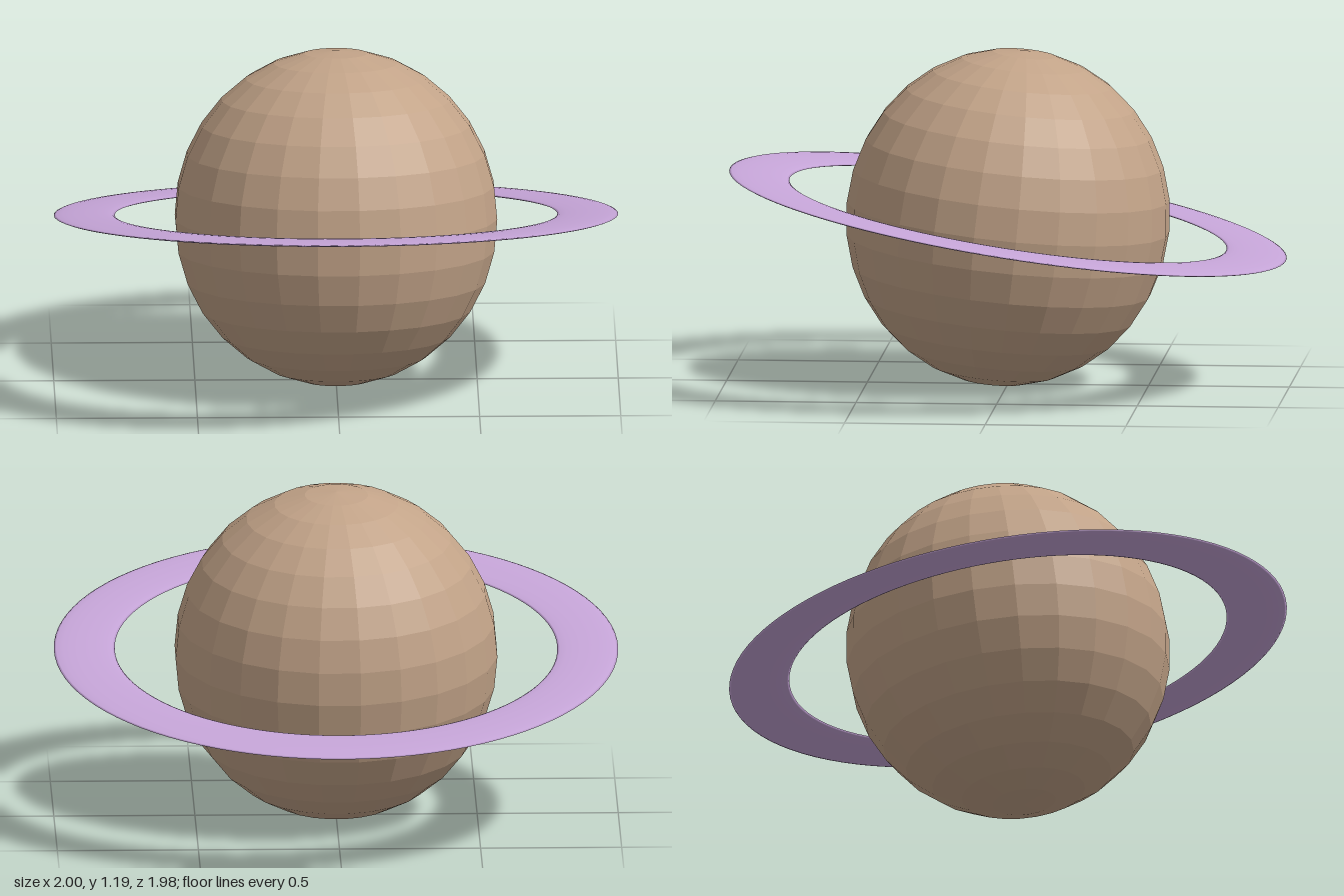
import * as THREE from 'three';

export function createModel() {
  const model = new THREE.Group();
  model.name = 'ringedPlanet';

  // Faceted globe, slightly taller along its tilted axis
  const globe = new THREE.Mesh(
    new THREE.SphereGeometry(0.575, 24, 16).rotateY(Math.PI / 24).scale(1, 0.6 / 0.575, 1),
    new THREE.MeshStandardMaterial({ color: 0xc2a388, flatShading: true })
  );
  globe.name = 'globe';
  globe.position.y = 0.6;
  globe.rotation.x = -0.1;
  model.add(globe);

  // Thin ring: a torus flattened to a lens section, raised at the front
  const ring = new THREE.Mesh(
    new THREE.TorusGeometry(0.892, 0.108, 16, 96).rotateX(Math.PI / 2).scale(1, 0.08, 1),
    new THREE.MeshStandardMaterial({ color: 0xc6a5d8 })
  );
  ring.name = 'ring';
  ring.position.y = 0.61;
  ring.rotation.x = -0.157;
  model.add(ring);

  return model;
}
